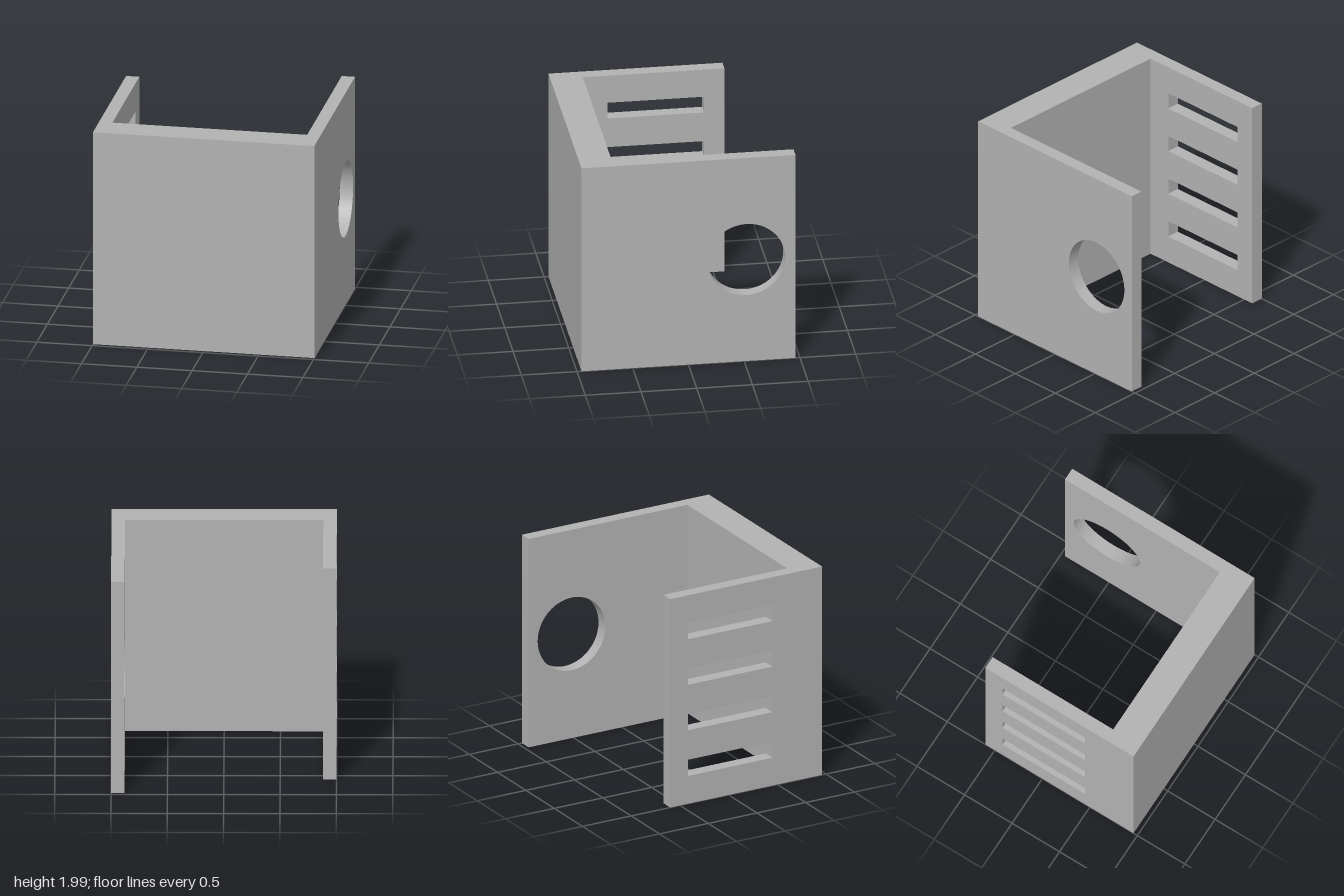
import * as THREE from 'three';

const HEIGHT = 1.99, FRONT = 0.96, WALL = 0.12, PANEL_BACK = 0.67;

// Rectangle drawn in the (z, y) plane
function rect(Type, z0, z1, y0, y1) {
  const r = new Type();
  r.moveTo(z0, y0);
  r.lineTo(z1, y0);
  r.lineTo(z1, y1);
  r.lineTo(z0, y1);
  r.closePath();
  return r;
}

// Upright side wall with cut-outs, reaching from outerX towards -x
function sideWall(name, backZ, holes, x, material) {
  const shape = rect(THREE.Shape, backZ, FRONT, 0, HEIGHT);
  shape.holes.push(...holes);
  const geometry = new THREE.ExtrudeGeometry(shape, { depth: WALL, bevelEnabled: false, curveSegments: 64 });
  geometry.rotateY(-Math.PI / 2);
  const mesh = new THREE.Mesh(geometry, material);
  mesh.name = name;
  mesh.position.x = x;
  return mesh;
}

export function createModel() {
  const group = new THREE.Group();
  group.name = 'bracket';
  const grey = new THREE.MeshStandardMaterial({ color: 0xb2b2b2 });
  grey.name = 'grey';

  // Thick front panel between the two walls
  const panel = new THREE.Mesh(
    new THREE.BoxGeometry(2 - 2 * WALL, HEIGHT, FRONT - PANEL_BACK), grey);
  panel.name = 'frontPanel';
  panel.position.set(0, HEIGHT / 2, (FRONT + PANEL_BACK) / 2);
  group.add(panel);

  // Long wall with a round hole
  const hole = new THREE.Path();
  hole.absarc(-0.52, HEIGHT / 2, 0.347, 0, Math.PI * 2, true);
  group.add(sideWall('holeWall', -0.96, [hole], 1, grey));

  // Short wall with four ventilation slots
  const slots = [];
  for (let i = 0; i < 4; i++) {
    const y = HEIGHT / 2 + (i - 1.5) * 0.435;
    slots.push(rect(THREE.Path, -0.418, 0.45, y - 0.077, y + 0.077));
  }
  group.add(sideWall('slottedWall', -0.6, slots, -1 + WALL, grey));

  return group;
}
